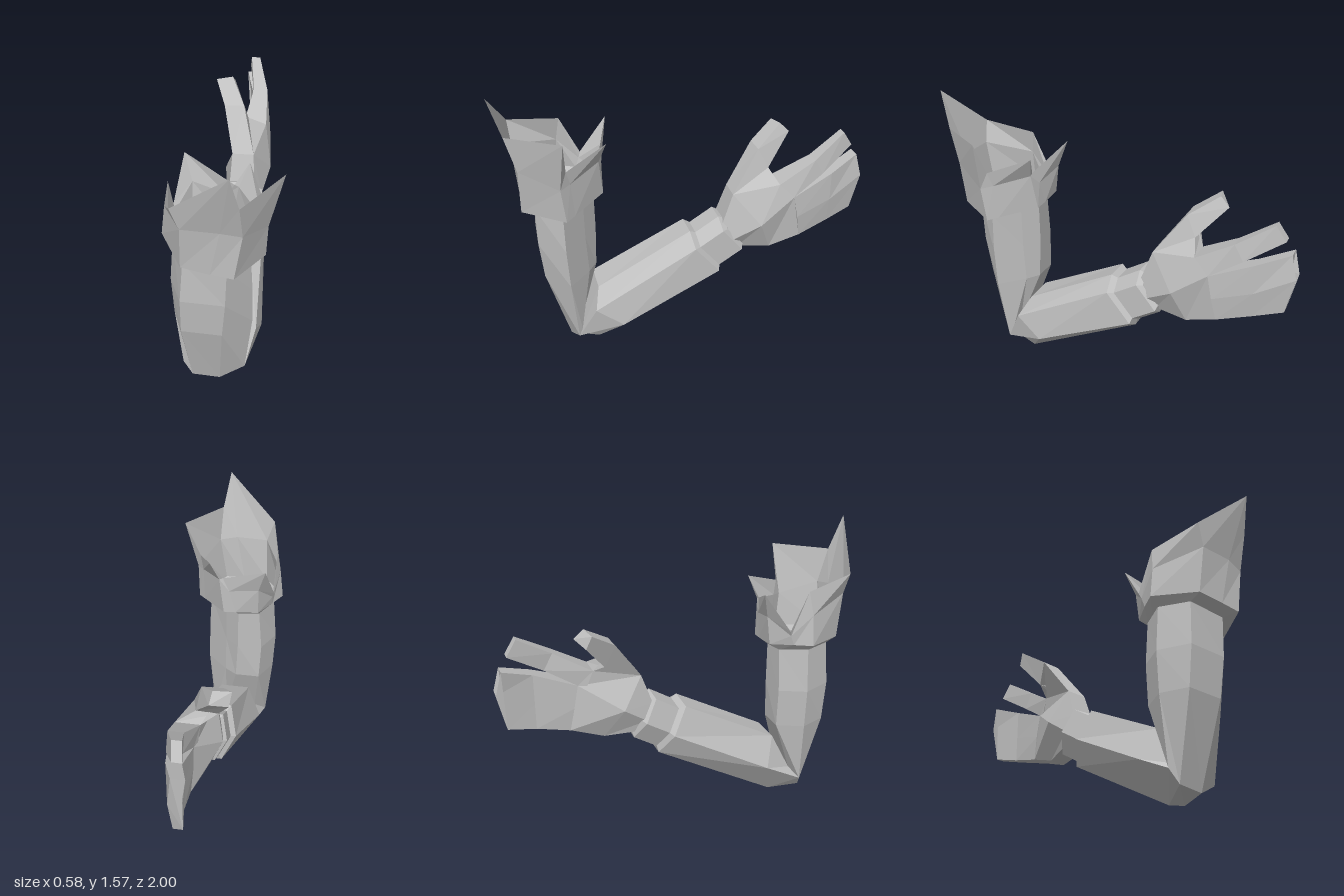
import * as THREE from 'three';

const grey = new THREE.MeshStandardMaterial({ color: 0xbfbfbf, side: THREE.DoubleSide });
grey.name = 'plain grey';

// Skins a list of equal-length rings of [x, y, z] points with flat facets.
function loft(name, rings, capStart = true, capEnd = true) {
  const n = rings[0].length;
  const tris = [];
  for (let r = 0; r < rings.length - 1; r++) {
    for (let i = 0; i < n; i++) {
      const j = (i + 1) % n;
      const a = rings[r][i], b = rings[r][j], c = rings[r + 1][j], d = rings[r + 1][i];
      tris.push([a, b, c], [a, c, d]);
    }
  }
  for (let i = 1; i < n - 1; i++) {
    const s = rings[0], e = rings[rings.length - 1];
    if (capStart) tris.push([s[0], s[i + 1], s[i]]);
    if (capEnd) tris.push([e[0], e[i], e[i + 1]]);
  }
  // Turn the faces outwards if the rings run the other way round
  const origin = new THREE.Vector3(...rings[0][0]);
  let volume = 0;
  for (const t of tris) {
    const [a, b, c] = t.map((p) => new THREE.Vector3(...p).sub(origin));
    volume += a.dot(b.cross(c));
  }
  if (volume < 0) tris.forEach((t) => t.reverse());
  const geometry = new THREE.BufferGeometry();
  geometry.setAttribute('position', new THREE.Float32BufferAttribute(tris.flat(2), 3));
  geometry.computeVertexNormals();
  const mesh = new THREE.Mesh(geometry, grey);
  mesh.name = name;
  return mesh;
}

// Copies a ring, scaled about its centre and shifted in y and z.
function resize(ring, scale, dy = 0, dz = 0) {
  const mid = [0, 1, 2].map((k) => ring.reduce((s, p) => s + p[k], 0) / ring.length);
  const shift = [0, dy, dz];
  return ring.map((p) => p.map((v, k) => mid[k] + (v - mid[k]) * scale + shift[k]));
}

// Ring from [x, z] pairs at height y, optionally sloping with x.
const level = (y, pairs, slope = 0) => pairs.map(([x, z]) => [x, y + slope * x, z]);

export function createModel() {
  const model = new THREE.Group();
  model.name = 'bentArm';

  // Upper arm, an open tube running down to the tilted crease of the elbow
  const elbow = [[-.165, .05, .68], [-.02, .04, .68], [.11, .11, .65], [.1, .15, .63],
    [.03, .17, .62], [-.15, .17, .62], [-.215, .12, .66]];
  model.add(loft('upperArm', [
    level(.925, [[-.17, .8], [.04, .82], [.14, .69], [.03, .57], [-.05, .5], [-.17, .51], [-.24, .65]], -.08),
    level(.7, [[-.19, .81], [.03, .82], [.15, .69], [.03, .57], [-.05, .5], [-.19, .51], [-.26, .65]]),
    level(.48, [[-.195, .79], [.01, .8], [.15, .68], [.03, .56], [-.04, .51], [-.18, .51], [-.25, .65]]),
    elbow,
  ], false, false));

  // Forearm with a narrower wrist band
  const forearmEnd = [[-.06, .38, -.15], [.07, .38, -.15], [.15, .43, -.145], [.15, .595, -.01],
    [.06, .66, 0], [-.09, .65, 0], [-.13, .5, -.08]];
  const wrist = resize(forearmEnd, .82, .01, -.02);
  const wristEnd = resize(wrist, 1, .08, -.13);
  model.add(loft('forearm', [
    elbow,
    [[-.08, .005, .53], [.03, .025, .53], [.18, .19, .41], [.16, .3, .555],
      [.05, .38, .52], [-.12, .38, .52], [-.2, .22, .46]],
    forearmEnd,
    wrist,
    wristEnd,
    resize(wristEnd, .8, .01, -.02),
  ], false, true));

  // Hand: the fingers grow from the two halves of the knuckle ring
  const hand = new THREE.Group();
  hand.name = 'hand';
  const low = [[.02, .57, -.62], [.12, .57, -.62]];
  const fork = [[.14, .83, -.57], [.01, .83, -.57]];
  const high = [[.12, .91, -.49], [-.01, .91, -.49]];
  hand.add(loft('palm', [
    [[-.05, .53, -.27], [.08, .53, -.27], [.12, .6, -.23], [.08, .69, -.18], [-.06, .69, -.18], [-.08, .6, -.22]],
    [[0, .51, -.44], [.1, .51, -.45], [.16, .69, -.38], [.07, .86, -.24], [-.05, .86, -.24], [-.1, .69, -.35]],
    [...low, fork[0], ...high, fork[1]],
  ]));
  hand.add(loft('joinedFingers', [
    [...low, [.14, .7, -.595], ...fork, [.01, .7, -.595]],
    [[.02, .615, -.8], [.08, .615, -.8], [.1, .76, -.8], [.1, .925, -.8], [.02, .925, -.8], [.02, .76, -.8]],
    [[-.01, .655, -.955], [.04, .655, -.955], [.05, .86, -1], [.04, .99, -.967], [-.03, .99, -.967], [-.02, .86, -1]],
  ]));
  hand.add(loft('indexFinger', [
    [fork[1], fork[0], high[0], high[1]],
    [[.03, .937, -.74], [.11, .937, -.74], [.11, 1.025, -.69], [.03, 1.025, -.69]],
    [[-.01, 1.056, -.93], [.04, 1.056, -.93], [.05, 1.14, -.875], [0, 1.14, -.875]],
  ]));
  hand.add(loft('thumb', [
    [[-.05, .86, -.24], [.07, .86, -.24], [.12, .91, -.49], [-.01, .91, -.49]],
    [[-.11, 1.08, -.395], [0, 1.08, -.4], [.02, .97, -.455], [-.09, .96, -.45]],
    [[-.17, 1.17, -.53], [-.08, 1.18, -.55], [-.07, 1.13, -.6], [-.16, 1.1, -.56]],
  ]));
  model.add(hand);

  // Torn sleeve: underside meeting the arm, hem, flared middle and jagged top edge
  model.add(loft('tornSleeve', [
    level(.925, [[-.17, .8], [-.06, .81], [.04, .82], [.14, .69], [.1, .65],
      [.03, .57], [-.05, .5], [-.17, .51], [-.205, .58], [-.24, .65]], -.08),
    [[-.17, .965, .86], [-.03, .95, .88], [.08, .94, .89], [.21, .92, .68], [.17, .93, .63],
      [.03, .96, .46], [-.04, .97, .45], [-.17, .98, .45], [-.24, .985, .56], [-.29, .985, .65]],
    [[-.16, 1.21, .89], [.02, 1.21, .9], [.12, 1.19, .89], [.22, 1.11, .7], [.18, 1.12, .645],
      [.06, 1.16, .48], [0, 1.1, .46], [-.17, 1.14, .43], [-.24, 1.04, .54], [-.27, 1.15, .65]],
    [[-.2, 1.33, .9], [.075, 1.575, 1], [.11, 1.38, .94], [.29, 1.39, .68], [.2, 1.2, .665],
      [.11, 1.28, .445], [.04, 1.17, .48], [-.21, 1.28, .39], [-.25, 1.07, .53], [-.25, 1.28, .63]],
  ], false, false));

  return model;
}
